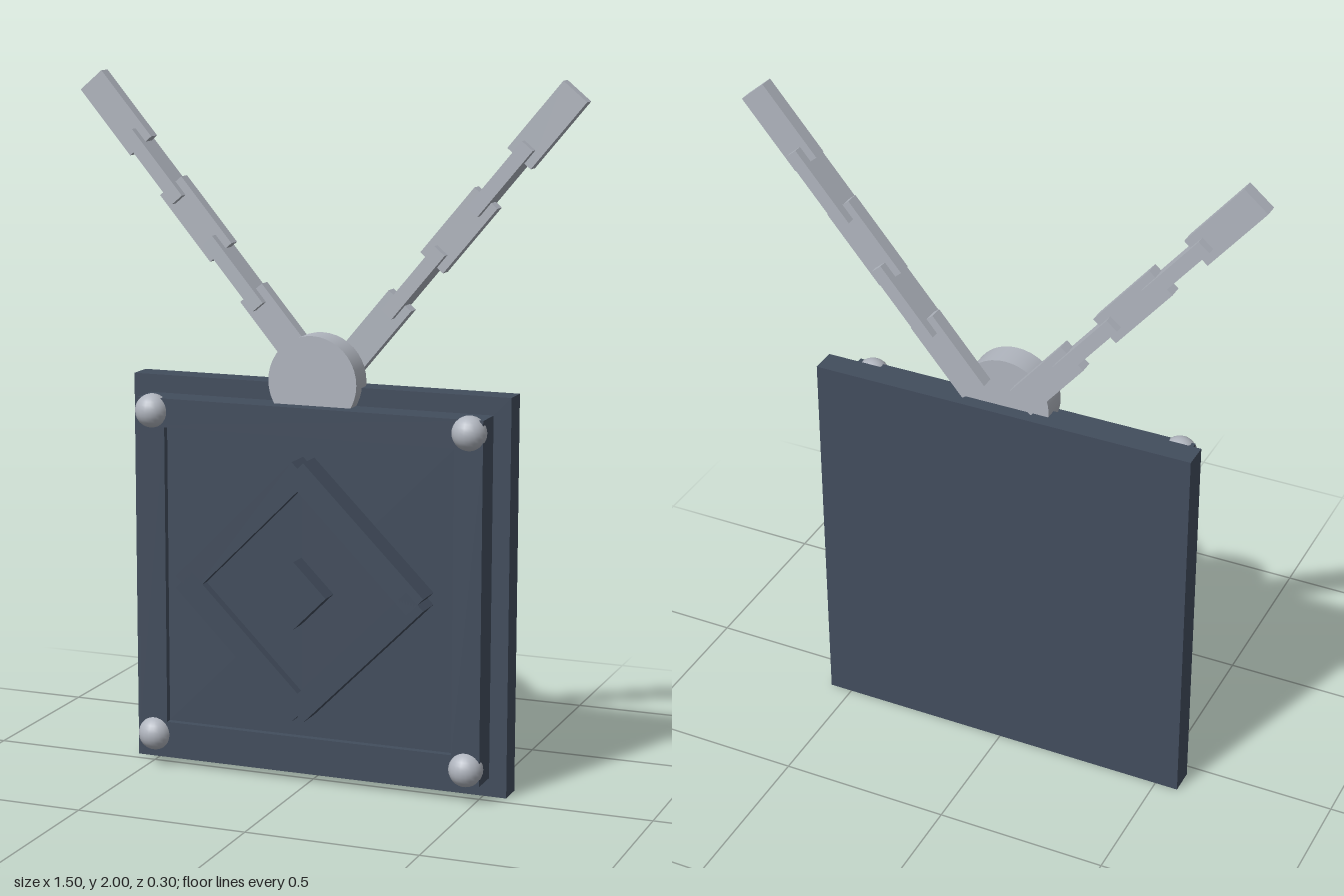
import * as THREE from 'three';

export function createModel() {
  const model = new THREE.Group();
  model.name = 'hangingPlaque';
  const slate = new THREE.MeshStandardMaterial({ name: 'darkSlate', color: 0x424d5d });
  const silver = new THREE.MeshStandardMaterial({ name: 'silver', color: 0xb0b5be });

  const add = (name, geometry, material, x, y, z, parent = model) => {
    const mesh = new THREE.Mesh(geometry, material);
    mesh.name = name;
    mesh.position.set(x, y, z);
    parent.add(mesh);
    return mesh;
  };
  // Box given by width, height and its back and front depth
  const slab = (name, w, h, back, front, x, y, parent) =>
    add(name, new THREE.BoxGeometry(w, h, front - back), slate, x, y, (back + front) / 2, parent);

  // Stepped square plates
  const cy = 0.571;
  slab('backPlate', 1.136, 1.14, -0.11, -0.035, 0, 0.57);
  slab('frontPlate', 1.034, 1.034, -0.035, 0.035, 0, cy);

  // Raised border
  for (const s of [-1, 1]) {
    slab('borderRail', 1.034, 0.083, 0.035, 0.055, 0, cy + s * 0.4755);
    slab('borderStile', 0.083, 0.868, 0.035, 0.055, s * 0.4755, cy);
  }

  // Diamond emblem: four bars with notched corners, recessed floor, centre stud
  const diamond = new THREE.Group();
  diamond.name = 'diamondEmblem';
  diamond.position.y = 0.575;
  diamond.rotation.z = Math.PI / 4;
  model.add(diamond);
  for (const s of [-1, 1]) {
    slab('diamondBar', 0.502, 0.07, 0.035, 0.12, 0, s * 0.24, diamond);
    slab('diamondBar', 0.07, 0.502, 0.035, 0.12, s * 0.24, 0, diamond);
  }
  slab('diamondFloor', 0.41, 0.41, 0.035, 0.09, 0, 0, diamond);
  slab('centreStud', 0.136, 0.136, 0.09, 0.15, 0, 0, diamond);

  // Corner rivets
  const ball = new THREE.SphereGeometry(0.049, 20, 14);
  for (const x of [-0.475, 0.475])
    for (const y of [0.098, 1.05]) add('cornerRivet', ball, silver, x, y, 0.047);

  // Hanger disc
  const disc = new THREE.CylinderGeometry(0.132, 0.132, 0.08, 40).rotateX(Math.PI / 2);
  add('hangerDisc', disc, silver, 0, 1.153, -0.03);

  // Two chains of links turned alternately flat and edge-on
  const flat = new THREE.BoxGeometry(0.24, 0.087, 0.04);
  const edge = new THREE.BoxGeometry(0.24, 0.04, 0.09);
  const angle = THREE.MathUtils.degToRad(50);
  for (const s of [-1, 1]) {
    const chain = new THREE.Group();
    chain.name = s > 0 ? 'leftChain' : 'rightChain';
    model.add(chain);
    for (let i = 0; i < 5; i++) {
      const d = i * 0.192;
      const link = add('chainLink', i % 2 ? edge : flat, silver,
        s * (0.147 + d * Math.cos(angle)), 1.291 + d * Math.sin(angle), -0.105, chain);
      link.rotation.z = s * angle;
    }
  }
  return model;
}
